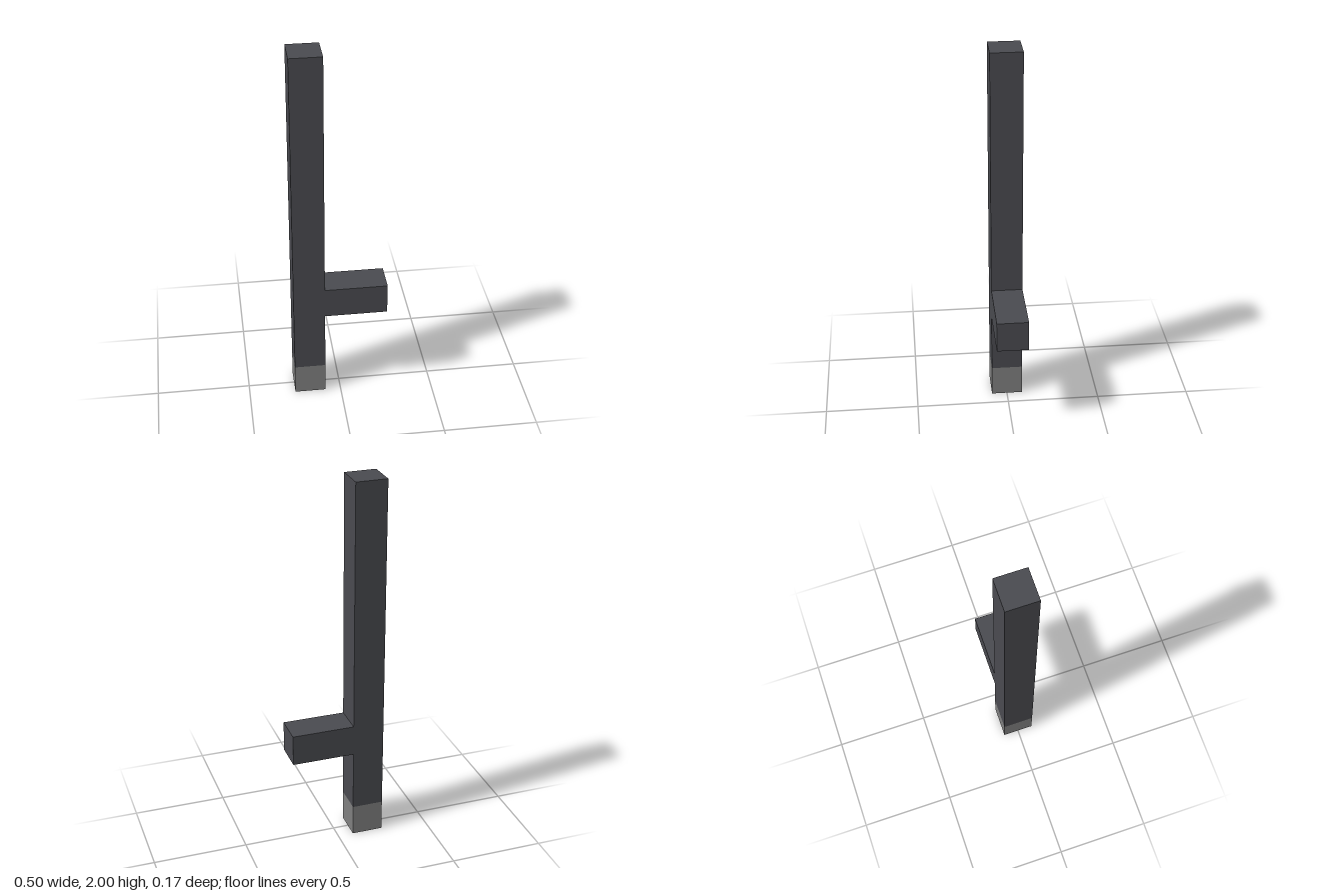
import * as THREE from 'three';

export function createModel() {
  const model = new THREE.Group();
  model.name = 'sideHandleBaton';

  const darkGrey = new THREE.MeshStandardMaterial({ color: 0x4a4b50 });
  darkGrey.name = 'dark grey';
  const lightGrey = new THREE.MeshStandardMaterial({ color: 0x808080 });
  lightGrey.name = 'light grey';

  const T = 1 / 6; // square bar thickness
  const tipHeight = 0.17;

  // Box placed by its left, bottom and size, centred on z
  function addBar(name, x, y, width, height, material) {
    const mesh = new THREE.Mesh(new THREE.BoxGeometry(width, height, T), material);
    mesh.name = name;
    mesh.position.set(x + width / 2, y + height / 2, 0);
    model.add(mesh);
  }

  // Upright shaft with its pale lower tip
  addBar('tip', -0.25, 0, T, tipHeight, lightGrey);
  addBar('shaft', -0.25, tipHeight, T, 2 - tipHeight, darkGrey);

  // Side handle
  addBar('sideHandle', -0.25 + T, 0.5, 2 * T, T, darkGrey);

  return model;
}
